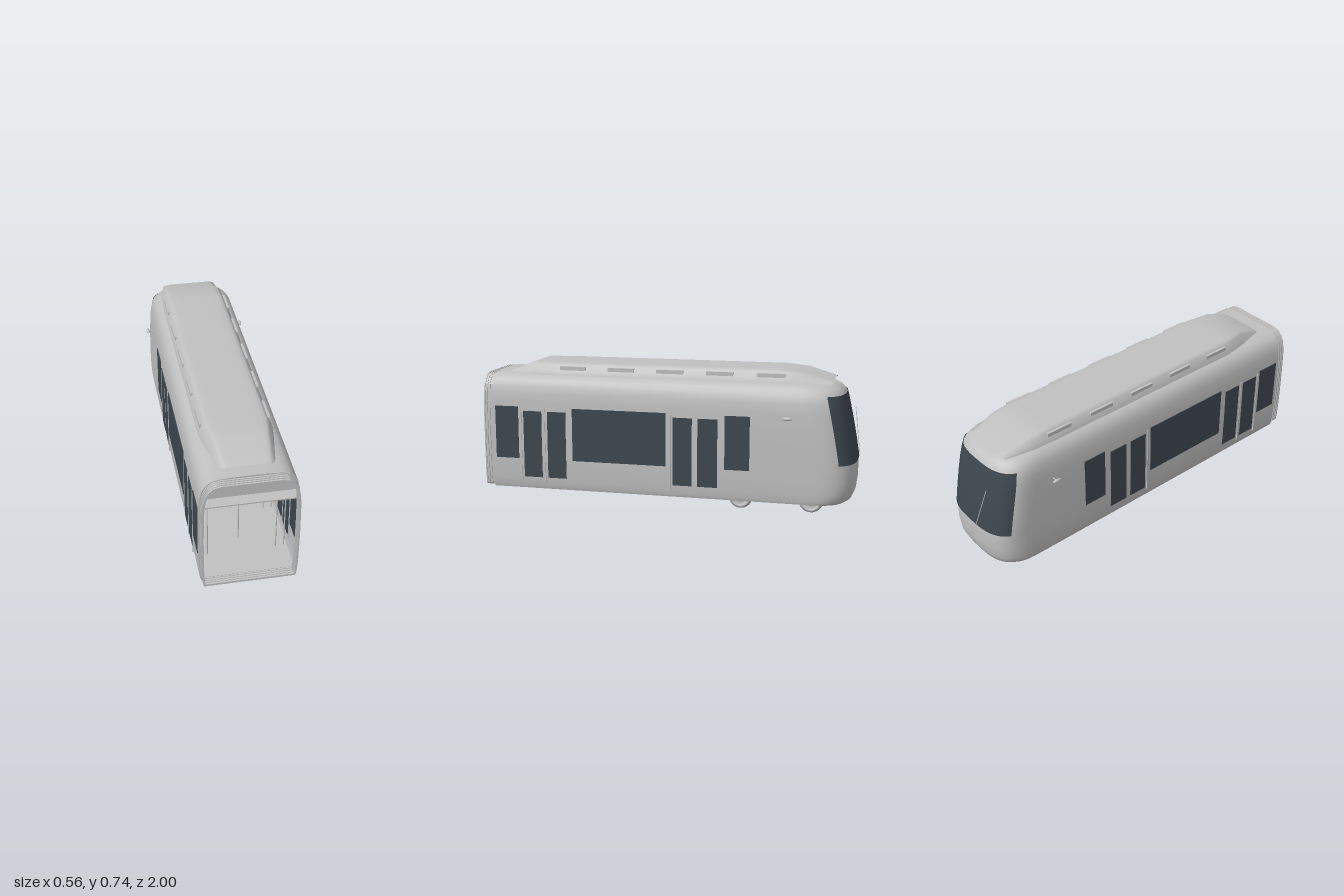
import * as THREE from 'three';

const bodyGrey = new THREE.MeshStandardMaterial({ color: 0xc0c0c0, side: THREE.DoubleSide });
bodyGrey.name = 'bodyGrey';
const darkGlass = new THREE.MeshStandardMaterial({ color: 0x3d474f, side: THREE.DoubleSide });
darkGlass.name = 'darkGlass';

// Hull levels from sill to roof: height, half width, z of the nose
const LEVELS = [
  [0.06, 0.23, -0.95], [0.075, 0.235, -0.972], [0.11, 0.239, -0.987], [0.17, 0.242, -0.995],
  [0.27, 0.243, -0.995], [0.36, 0.243, -0.98], [0.45, 0.242, -0.963], [0.53, 0.24, -0.946],
  [0.58, 0.235, -0.935], [0.62, 0.226, -0.925], [0.648, 0.21, -0.9], [0.668, 0.187, -0.86],
  [0.68, 0.15, -0.76], [0.684, 0.08, -0.71], [0.685, 0, -0.68],
];
const END = 0.95;

// Rounded plan curve of one level, from the left side around the nose to the right
function noseArc([y, w, f], from, to, offset = 0, steps = 40) {
  const depth = 0.2, points = [];
  for (let j = 0; j <= steps; j++) {
    const a = from + (to - from) * j / steps, c = Math.cos(a), s = Math.max(0, Math.sin(a));
    points.push([Math.sign(c) * Math.abs(c) ** (2 / 3) * (w + offset), y,
      f + depth - (depth + offset) * s ** (2 / 3)]);
  }
  return points;
}

// Skin a list of equally long rows of points
function loft(rows) {
  const n = rows[0].length, index = [];
  for (let i = 0; i < rows.length - 1; i++)
    for (let j = 0; j < n - 1; j++) {
      const a = i * n + j, d = a + n;
      index.push(a, a + 1, d, a + 1, d + 1, d);
    }
  const geo = new THREE.BufferGeometry();
  geo.setAttribute('position', new THREE.Float32BufferAttribute(rows.flat(2), 3));
  geo.setIndex(index);
  geo.computeVertexNormals();
  return geo;
}

// Cross-section of the hull, inset, and optionally cut off below a height
function sectionShape(inset, minY = 0) {
  const half = LEVELS.filter(l => l[0] >= minY)
    .map(([y, w]) => [Math.max(0, w - inset), Math.min(Math.max(y, 0.06 + inset), 0.685 - inset)]);
  const left = half.map(([x, y]) => new THREE.Vector2(x, y));
  const right = half.slice(0, -1).reverse().map(([x, y]) => new THREE.Vector2(-x, y));
  return new THREE.Shape([...left, ...right]);
}

function sectionSlab(shape, z, depth) {
  return new THREE.ExtrudeGeometry(shape, { depth, bevelEnabled: false }).translate(0, 0, z);
}

function sectionRing(outer, inner, z, depth) {
  const shape = sectionShape(outer);
  shape.holes.push(new THREE.Path(sectionShape(inner).getPoints()));
  return sectionSlab(shape, z, depth);
}

export function createModel() {
  const model = new THREE.Group();
  model.name = 'tramCar';
  const add = (name, geo, mat = bodyGrey) => {
    const mesh = new THREE.Mesh(geo, mat);
    mesh.name = name;
    model.add(mesh);
    return mesh;
  };
  const box = (name, x0, x1, y0, y1, z0, z1, mat) => add(name,
    new THREE.BoxGeometry(Math.abs(x1 - x0), y1 - y0, Math.abs(z1 - z0))
      .translate((x0 + x1) / 2, (y0 + y1) / 2, (z0 + z1) / 2), mat);
  const rod = (name, a, b, r) => add(name, new THREE.TubeGeometry(
    new THREE.LineCurve3(new THREE.Vector3(...a), new THREE.Vector3(...b)), 1, r, 8));
  const axial = (name, r, len, x, y, z) => add(name,
    new THREE.CylinderGeometry(r, r, len, 28).rotateZ(Math.PI / 2).translate(x, y, z));

  // Hull and wraparound windscreen
  add('hull', loft(LEVELS.map(l => [[l[1], l[0], END], ...noseArc(l, 0, Math.PI), [-l[1], l[0], END]])));
  const screenRows = LEVELS.filter(l => l[0] >= 0.27 && l[0] <= 0.62);
  add('windscreen', loft(screenRows.map(l => noseArc(l, 0.47, Math.PI - 0.47, 0.003))), darkGlass);
  rod('wiper', [-0.05, 0.28, -1.0], [-0.12, 0.52, -0.967], 0.002);

  // Floor follows the lowest plan curve
  const plan = [[0.23, 0, END], ...noseArc(LEVELS[0], 0, Math.PI), [-0.23, 0, END]]
    .map(p => new THREE.Vector2(p[0], -p[2]));
  add('floor', new THREE.ExtrudeGeometry(new THREE.Shape(plan), { depth: 0.018, bevelEnabled: false })
    .rotateX(-Math.PI / 2).translate(0, 0.06, 0));

  // Open end: frame and folded gangway
  add('endFrame', sectionRing(0, 0.014, END - 0.012, 0.012));
  add('gangwaySleeve', sectionRing(0.011, 0.015, END, 0.048));
  for (let i = 0; i < 4; i++)
    add('gangwayFold', sectionRing(0.007, 0.018, END + 0.002 + i * 0.0135, 0.0075));

  // Interior shell: ceiling, bulkhead above the passage, cab partition
  box('ceiling', -0.238, 0.238, 0.5, 0.507, 0.935, -0.5);
  add('upperBulkhead', sectionSlab(sectionShape(0.004, 0.5), 0.895, 0.006));
  add('cabPartition', sectionSlab(sectionShape(0.003), -0.51, 0.01));
  box('partitionWindow', -0.165, -0.06, 0.32, 0.412, -0.502, -0.496, darkGlass);
  box('displayFrame', -0.064, 0.064, 0.443, 0.488, -0.502, -0.494);
  box('display', -0.057, 0.057, 0.447, 0.485, -0.498, -0.491, darkGlass);
  for (const z of [0.7, 0.25, -0.12]) rod('centrePole', [0, 0.075, z], [0, 0.503, z], 0.0035);

  for (const s of [1, -1]) {
    // Side windows and paired door panes
    for (const [a, b] of [[0.93, 0.8], [0.495, -0.018], [-0.33, -0.46]])
      box('sideWindow', s * 0.2375, s * 0.2452, 0.225, 0.508, a, b, darkGlass);
    for (const [a, b] of [[0.77, 0.668], [0.635, 0.532], [-0.055, -0.157], [-0.187, -0.292]])
      box('doorWindow', s * 0.2365, s * 0.2447, 0.125, 0.486, a, b, darkGlass);
    for (const z of [0.785, 0.652, -0.04])
      box('doorStrip', s * 0.237, s * 0.2462, 0.1, 0.5, z - 0.003, z + 0.003);

    // Grab poles by the doors
    for (const z of [0.79, 0.5, -0.03, -0.31]) {
      rod('grabPole', [s * 0.173, 0.075, z], [s * 0.173, 0.503, z], 0.003);
      rod('wallPole', [s * 0.215, 0.075, z], [s * 0.215, 0.503, z], 0.003);
    }

    // Double seats
    for (const z of [0.34, 0.06, -0.42])
      for (const [a, b] of [[0.046, 0.132], [0.136, 0.22]]) {
        box('seatCushion', s * a, s * b, 0.15, 0.17, z, z + 0.075);
        box('seatBack', s * a, s * b, 0.15, 0.297, z - 0.012, z);
        box('seatLeg', s * (a + 0.035), s * (b - 0.035), 0.075, 0.15, z + 0.02, z + 0.04);
      }

    // Mirrors on short arms
    rod('mirrorArm', [s * 0.238, 0.51, -0.655], [s * 0.272, 0.51, -0.655], 0.003);
    add('mirror', new THREE.SphereGeometry(0.009, 16, 10).scale(1, 1, 2.7)
      .translate(s * 0.271, 0.51, -0.655));

    // Roof vents
    for (let i = 0; i < 5; i++) {
      const z = 0.51 - i * 0.266;
      box('roofVent', s * 0.158, s * 0.174, 0.703, 0.723, z - 0.072, z + 0.072);
    }
  }

  // Roof fairing: z, half width, top height
  const roofRows = [[0.88, 0.135, 0.686], [0.74, 0.16, 0.741], [0.6, 0.183, 0.742],
    [-0.6, 0.183, 0.742], [-0.72, 0.178, 0.73], [-0.865, 0.15, 0.686]].map(([z, w, top]) => {
    const h = top - 0.675;
    const half = [[1, 0], [0.96, 0.35], [0.86, 0.8], [0.8, 0.92], [0.7, 0.98], [0.5, 1]];
    const side = half.map(([x, y]) => [x * w, 0.675 + y * h, z]);
    return [...side, ...side.map(([x, y]) => [-x, y, z]).reverse()];
  });
  add('roofFairing', loft(roofRows.map(r => r.reverse())));

  // Bogie: wheels with flanges, axles, brake discs and motors
  for (const z of [-0.4, -0.77]) {
    axial('axle', 0.011, 0.36, 0, 0.064, z);
    for (const s of [1, -1]) {
      const wheel = [[0, -0.012], [0.055, -0.014], [0.064, -0.011], [0.064, -0.006],
        [0.058, -0.002], [0.056, 0.013], [0.046, 0.013], [0.04, 0.006], [0.018, 0.006], [0.016, 0.015], [0, 0.015]];
      add('wheel', new THREE.LatheGeometry(wheel.map(p => new THREE.Vector2(...p)), 32)
        .rotateZ(-s * Math.PI / 2).translate(s * 0.155, 0.064, z));
      axial('brakeDisc', 0.038, 0.008, s * 0.097, 0.064, z);
      box('axleBox', s * 0.17, s * 0.187, 0.048, 0.09, z - 0.022, z + 0.022);
    }
  }
  for (const z of [-0.49, -0.68]) axial('motor', 0.034, 0.124, 0, 0.071, z);

  return model;
}
